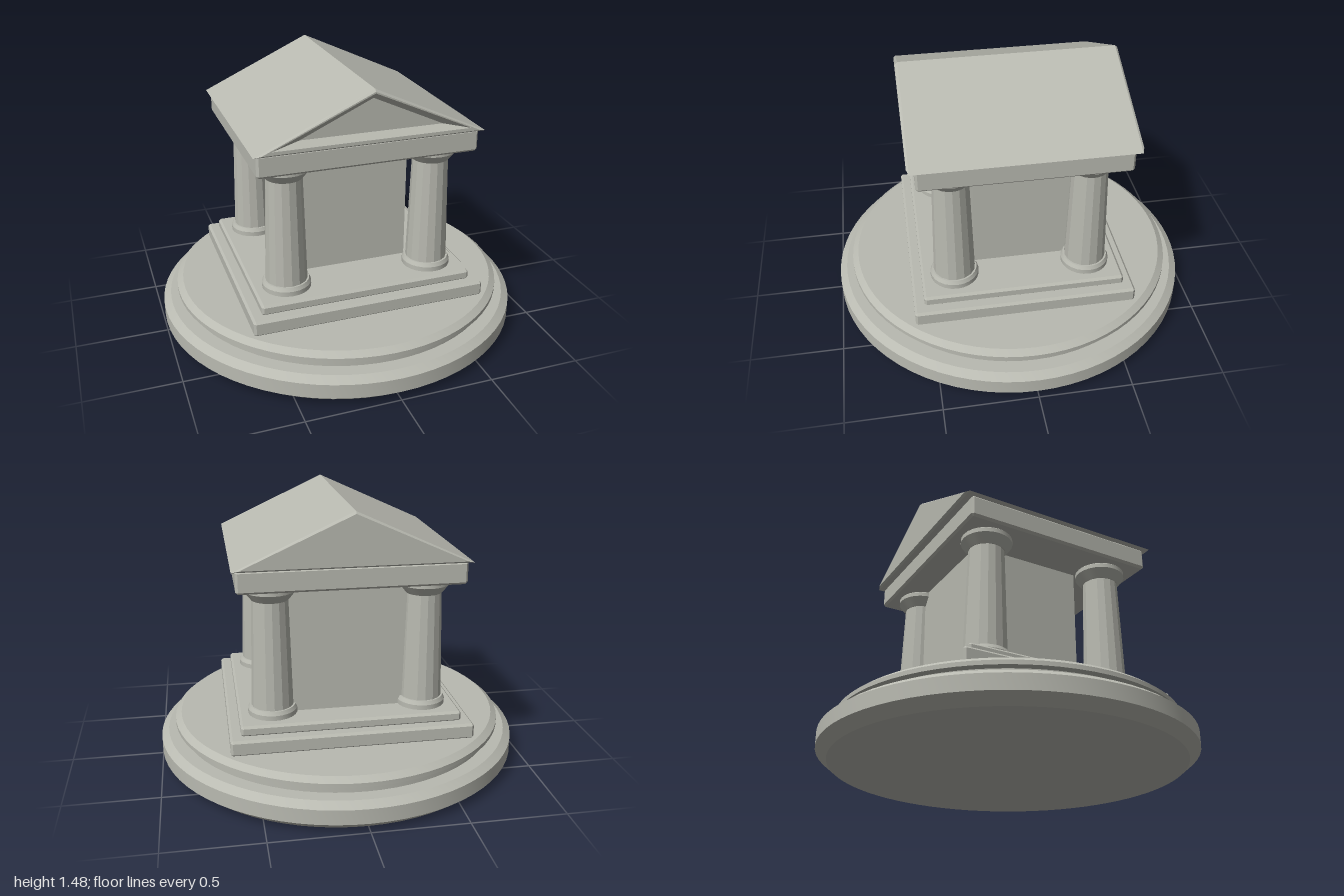
import * as THREE from 'three';
import { toCreasedNormals } from 'three/addons/utils/BufferGeometryUtils.js';
import { ConvexGeometry } from 'three/addons/geometries/ConvexGeometry.js';

const stone = new THREE.MeshStandardMaterial({ color: 0xb9bab1 });
stone.name = 'paleStone';

function part(name, geometry, parent) {
  const mesh = new THREE.Mesh(geometry, stone);
  mesh.name = name;
  parent.add(mesh);
  return mesh;
}

// Box with every edge chamfered, given half sizes and a y range
function chamferedBox(hx, hz, y0, y1, c = 0.012) {
  const hy = (y1 - y0) / 2;
  const points = [];
  for (const sx of [-1, 1]) for (const sy of [-1, 1]) for (const sz of [-1, 1]) {
    for (const [a, b, d] of [[0, c, c], [c, 0, c], [c, c, 0]]) {
      points.push(new THREE.Vector3(sx * (hx - a), sy * (hy - b), sz * (hz - d)));
    }
  }
  return new ConvexGeometry(points).translate(0, (y0 + y1) / 2, 0);
}

// Turned solid with crisp profile edges
function turned(profile, sides, crease = 0.42) {
  const points = profile.map(([r, y]) => new THREE.Vector2(r, y));
  return toCreasedNormals(new THREE.LatheGeometry(points, sides), crease);
}

// Gabled roof lofted through triangles: [z, half width, base y, apex y]
function gabledRoof() {
  const rings = [
    [-0.577, 0.565, 1.207, 1.463],
    [-0.565, 0.6, 1.198, 1.475],
    [0.565, 0.6, 1.198, 1.475],
    [0.577, 0.565, 1.207, 1.463],
    [0.577, 0.515, 1.224, 1.455], // opening of the pediment
    [0.547, 0.37, 1.255, 1.425], // recessed panel
  ].map(([z, w, base, apex]) => [[-w, base, z], [w, base, z], [0, apex, z]]);
  const positions = [];
  const face = (...corners) => corners.forEach((p) => positions.push(...p));
  const back = rings[0];
  face(back[0], back[2], back[1]);
  for (let k = 0; k < rings.length - 1; k++) {
    for (let i = 0; i < 3; i++) {
      const j = (i + 1) % 3;
      const [a, b, c, d] = [rings[k][i], rings[k][j], rings[k + 1][j], rings[k + 1][i]];
      face(a, b, c);
      face(a, c, d);
    }
  }
  face(...rings[rings.length - 1]);
  const geometry = new THREE.BufferGeometry();
  geometry.setAttribute('position', new THREE.Float32BufferAttribute(positions, 3));
  geometry.computeVertexNormals();
  return geometry;
}

export function createModel() {
  const model = new THREE.Group();
  model.name = 'temple';

  // Round plinth with a recessed band between two discs
  part('roundPlinth', turned([
    [0, 0], [0.94, 0], [1, 0.05], [1, 0.13], [0.96, 0.16], [0.887, 0.16],
    [0.887, 0.197], [0.918, 0.203], [0.918, 0.225], [0.885, 0.25], [0, 0.25],
  ], 72), model);

  // Steps, inner chamber and beam
  part('lowerStep', chamferedBox(0.637, 0.595, 0.245, 0.33), model);
  part('upperStep', chamferedBox(0.58, 0.54, 0.325, 0.382), model);
  const chamber = part('chamber', new THREE.BoxGeometry(0.64, 0.71, 0.62), model);
  chamber.position.set(0, 0.73, -0.07);
  part('entablature', chamferedBox(0.58, 0.54, 1.078, 1.197), model);
  part('roof', gabledRoof(), model);

  // Four tapered columns
  const shaft = turned([[0.112, 0.41], [0.095, 1.01]], 16, 0.2);
  const foot = turned([
    [0, 0.38], [0.13, 0.38], [0.13, 0.408], [0.12, 0.428], [0, 0.428],
  ], 24);
  const capital = turned([
    [0, 1.003], [0.098, 1.003], [0.135, 1.05], [0.135, 1.073], [0.128, 1.08], [0, 1.08],
  ], 24);
  for (const z of [0.36, -0.36]) {
    for (const x of [-0.4, 0.4]) {
      const column = new THREE.Group();
      column.name = (z > 0 ? 'front' : 'back') + (x > 0 ? 'Left' : 'Right') + 'Column';
      part('shaft', shaft, column);
      part('foot', foot, column);
      part('capital', capital, column);
      column.position.set(x, 0, z);
      model.add(column);
    }
  }
  return model;
}
